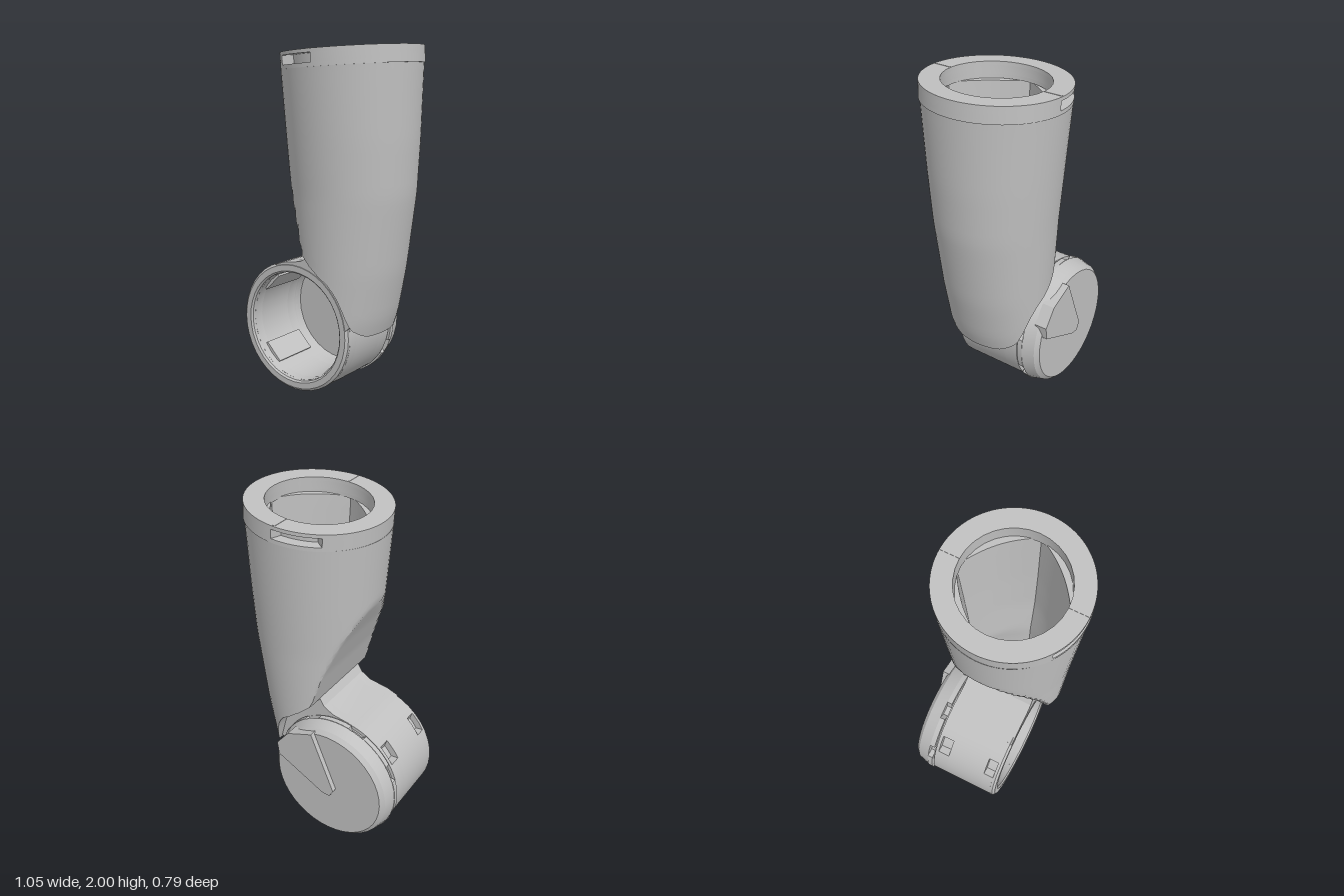
import * as THREE from 'three';
import { toCreasedNormals } from 'three/addons/utils/BufferGeometryUtils.js';

const HUB_X = -0.13, HUB_Y = 0.395, TUBE_X = 0.13, TILT = 0.064;
const rad = THREE.MathUtils.degToRad;

// piecewise-linear lookup in a short list of [input, output] pairs
function lookup(table, v) {
  if (v <= table[0][0]) return table[0][1];
  for (let i = 1; i < table.length; i++) {
    const [a, p] = table[i - 1], [b, q] = table[i];
    if (v <= b) return p + (q - p) * (v - a) / (b - a);
  }
  return table[table.length - 1][1];
}

// annulus outline; notches are [start, end] in degrees, cut down to notchR
function annulus(outer, inner, notches = [], notchR = outer, n = 120) {
  const pts = [];
  for (let i = 0; i < n; i++) {
    const deg = i * 360 / n;
    const r = notches.some(([a, b]) => deg >= a && deg <= b) ? notchR : outer;
    pts.push(new THREE.Vector2(r * Math.cos(rad(deg)), r * Math.sin(rad(deg))));
  }
  const shape = new THREE.Shape(pts);
  shape.holes.push(new THREE.Path().absarc(0, 0, inner, 0, Math.PI * 2, true));
  return shape;
}

function extrude(shape, z0, z1) {
  const g = new THREE.ExtrudeGeometry(shape, { depth: z1 - z0, bevelEnabled: false, curveSegments: 16 });
  g.translate(0, 0, z0);
  return toCreasedNormals(g, 0.45);
}

const polygon = (pts) => new THREE.Shape(pts.map(([x, y]) => new THREE.Vector2(x, y)));

// tapered sleeve: elliptical, sliced on its inner side, with a curved lower edge
const RIGHT = [[0.4, 0.355], [0.5, 0.39], [0.77, 0.445], [1.2, 0.503], [1.5, 0.517], [1.9, 0.523]];
const LEFT = [[0.4, -0.14], [1.48, -0.232], [1.87, -0.26]];
const HALF_Z = [[0.4, 0.31], [0.75, 0.324], [1.2, 0.345], [1.9, 0.392]];
const SLICE = [[0.6, 0.06], [0.87, 0.01], [1.08, -0.055], [1.28, -0.135], [1.48, -0.232], [1.6, -0.4]];
const EDGE = [[0.0, 0.88], [0.1, 0.8], [0.2, 0.73], [0.25, 0.64], [0.295, 0.47], [0.335, 0.42]];
const THINNING = [[0.42, 1], [0.9, 0]];

function sleevePoint(angle, y, inside) {
  const c = Math.cos(angle), s = Math.sin(angle);
  const xr = lookup(RIGHT, y), xl = lookup(LEFT, y);
  const bore = 0.79 / Math.pow(Math.abs(c) + Math.abs(s), 0.6);
  const k = inside ? bore + (0.92 - bore) * lookup(THINNING, y) : 1;
  const x = (xr + xl) / 2 + (xr - xl) / 2 * c * k;
  return [Math.max(x, lookup(SLICE, y) + (inside ? 0.05 : 0)), y, lookup(HALF_Z, y) * s * k];
}

function sleeveGeometry() {
  const n = 64, rows = 28, pos = [], index = [], loops = 2 * (rows + 1);
  for (let i = 0; i < n; i++) {
    const a = i / n * Math.PI * 2;
    const top = 1.886 + TILT * 0.39 * Math.cos(a);
    let bottom = 1.2;
    while (bottom > 0.42 && bottom > lookup(EDGE, sleevePoint(a, bottom, false)[0])) bottom -= 0.005;
    for (let j = 0; j < loops; j++) {
      const inside = j > rows;
      const t = inside ? (loops - 1 - j) / rows : j / rows;
      const end = inside ? bottom + 0.04 : bottom;
      pos.push(...sleevePoint(a, top + (end - top) * t, inside));
    }
  }
  // walls, joined at the top
  for (let i = 0; i < n; i++) {
    for (let j = 0; j < loops; j++) {
      if (j === rows) continue;
      const i2 = (i + 1) % n, j2 = (j + 1) % loops;
      const p = i * loops + j, q = i2 * loops + j, r = i2 * loops + j2, s = i * loops + j2;
      index.push(p, q, r, p, r, s);
    }
  }
  // curved floor, closed below and inside
  for (let i = 0; i < n / 2; i++) {
    const [p, q, r, s] = [i, i + 1, n - i - 1, (n - i) % n].map((k) => k * loops + rows);
    index.push(p, q, r, p, r, s);
    index.push(p + 1, r + 1, q + 1, p + 1, s + 1, r + 1);
  }
  const g = new THREE.BufferGeometry();
  g.setAttribute('position', new THREE.Float32BufferAttribute(pos, 3));
  g.setIndex(index);
  return toCreasedNormals(g, 0.5);
}

export function createModel() {
  const model = new THREE.Group();
  model.name = 'jointedSleeve';
  const grey = new THREE.MeshStandardMaterial({ color: 0xc0c0c0 });
  grey.name = 'lightGrey';

  function add(parent, name, geometry) {
    const mesh = new THREE.Mesh(geometry, grey);
    mesh.name = name;
    parent.add(mesh);
    return mesh;
  }
  function group(name, x, y) {
    const g = new THREE.Group();
    g.name = name;
    g.position.set(x, y, 0);
    model.add(g);
    return g;
  }

  add(model, 'sleeve', sleeveGeometry());

  // collar: tilted ring with a locking slot front and back
  const collar = group('collar', TUBE_X, 1.975);
  collar.rotation.z = TILT;
  const slots = [[90, 124], [236, 270]];
  [[-0.092, -0.07, []], [-0.07, -0.02, slots], [-0.02, 0, []]].forEach(([y0, y1, cuts]) => {
    const g = extrude(annulus(0.394, 0.285, cuts, 0.335), y0, y1);
    add(collar, 'collarBand', g.rotateX(-Math.PI / 2));
  });
  // short split above each slot
  for (const side of [-1, 1]) {
    const lip = add(collar, 'collarLip', new THREE.BoxGeometry(0.012, 0.008, 0.1));
    lip.position.set(0.006, -0.002, side * 0.338);
  }

  // hub: open ring with clip windows near both rims
  const hub = group('hub', HUB_X, HUB_Y);
  const windows = [33, 142, 213, 303].map((a) => [a - 7, a + 7]);
  [[-0.21, -0.19, []], [-0.19, -0.12, windows], [-0.12, 0.12, []], [0.12, 0.18, windows]].forEach(([z0, z1, cuts]) => {
    add(hub, 'hubBand', extrude(annulus(0.385, 0.325, cuts, 0.345), z0, z1));
  });
  // chamfered front rim
  const rim = [[0.325, 0.18], [0.385, 0.18], [0.385, 0.197], [0.37, 0.21], [0.335, 0.21], [0.325, 0.2], [0.325, 0.18]];
  const rimGeometry = new THREE.LatheGeometry(rim.map(([x, y]) => new THREE.Vector2(x, y)), 40);
  add(hub, 'frontRim', toCreasedNormals(rimGeometry.rotateX(Math.PI / 2), 0.4));
  // small ribs inside the hub
  for (const deg of [45, 135, 225, 315]) {
    const rib = add(hub, 'innerRib', new THREE.BoxGeometry(0.025, 0.14, 0.3));
    rib.position.set(0.318 * Math.cos(rad(deg)), 0.318 * Math.sin(rad(deg)), -0.01);
    rib.rotation.z = rad(deg);
  }

  // cap: recessed seam, notched edge, bevelled disc and pointer
  const cap = group('cap', HUB_X, HUB_Y);
  const notches = [20, 65, 110, 155, 200, 245, 290, 335].map((a) => [a - 6, a + 6]);
  add(cap, 'capSeam', extrude(annulus(0.365, 0.325), -0.22, -0.21));
  add(cap, 'capNotchedEdge', extrude(annulus(0.393, 0.325, notches, 0.35), -0.25, -0.22));
  const disc = [[0, -0.345], [0.348, -0.345], [0.372, -0.322], [0.391, -0.25], [0.325, -0.25], [0.325, -0.275], [0, -0.275]];
  const discGeometry = new THREE.LatheGeometry(disc.map(([x, y]) => new THREE.Vector2(x, y)), 40);
  add(cap, 'capDisc', toCreasedNormals(discGeometry.rotateX(Math.PI / 2), 0.4));
  // inner floor with a pointer-shaped recess
  const recess = [[-0.03, -0.055], [0.02, -0.05], [0.29, 0.09], [0.22, 0.2], [0.06, 0.29], [-0.055, -0.01]];
  const floor = new THREE.Shape().absarc(0, 0, 0.326, 0, Math.PI * 2, false);
  floor.holes.push(new THREE.Path(recess.map(([x, y]) => new THREE.Vector2(x, y))));
  add(cap, 'capFloor', extrude(floor, -0.276, -0.25));
  add(cap, 'pointer', extrude(polygon([[-0.03, -0.055], [0.02, -0.05], [0.32, 0.11],
    [0.33, 0.19], [0.25, 0.29], [0.09, 0.35], [-0.055, -0.01]]), -0.375, -0.3));

  // neck: two cheeks and a back wall joining the hub to the sleeve
  const cheek = polygon([[-0.27, 0.75], [-0.2, 0.775], [-0.08, 0.795], [-0.02, 0.83], [0.01, 0.88], [0.1, 0.81],
    [0.2, 0.74], [0.25, 0.65], [0.29, 0.49], [0.235, 0.44], [0.2, 0.53], [0.12, 0.65], [0, 0.72], [-0.13, 0.745]]);
  const wall = polygon([[-0.27, 0.75], [-0.2, 0.775], [-0.08, 0.795], [-0.02, 0.83], [0.01, 0.88],
    [0.06, 0.85], [0.04, 0.71], [-0.13, 0.745]]);
  const neck = group('neck', 0, 0);
  add(neck, 'neckCheek', extrude(cheek, 0.15, 0.208));
  add(neck, 'neckCheek', extrude(cheek, -0.208, -0.15));
  add(neck, 'neckWall', extrude(wall, -0.15, 0.15));

  return model;
}
